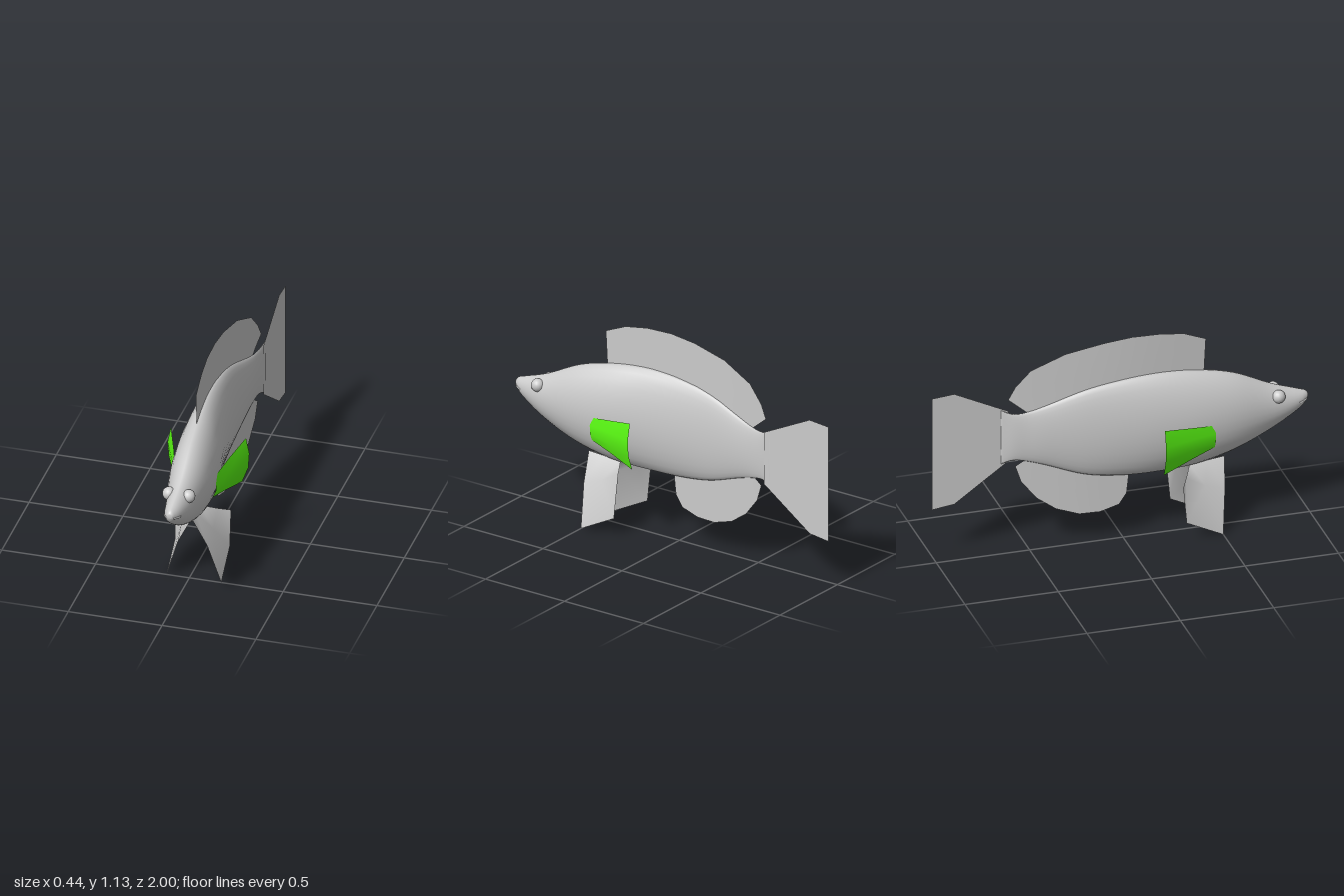
import * as THREE from 'three';

const V = (x, y, z) => new THREE.Vector3(x, y, z);

// Body stations from snout to tail root: z, top, bottom, spine x, half width
const stations = [
  [1.0, 0.665, 0.64, 0.04, 0.012],
  [0.985, 0.68, 0.615, 0.04, 0.025],
  [0.94, 0.695, 0.575, 0.04, 0.045],
  [0.8, 0.745, 0.49, 0.04, 0.075],
  [0.6, 0.84, 0.405, 0.03, 0.108],
  [0.4, 0.89, 0.36, 0.018, 0.114],
  [0.2, 0.91, 0.35, 0.005, 0.096],
  [0, 0.9, 0.355, 0.002, 0.073],
  [-0.2, 0.865, 0.385, 0.01, 0.05],
  [-0.4, 0.795, 0.455, 0.033, 0.032],
  [-0.5, 0.765, 0.485, 0.047, 0.02],
  [-0.57, 0.76, 0.495, 0.058, 0.012],
  [-0.63, 0.78, 0.475, 0.075, 0.004],
];

// Sideways swing of the spine at z
function spine(z) {
  for (let i = 1; i < stations.length; i++) {
    const a = stations[i - 1], b = stations[i];
    if (z >= b[0]) return THREE.MathUtils.lerp(a[3], b[3], Math.max(0, (a[0] - z) / (a[0] - b[0])));
  }
  return 0.077;
}

function makeGeometry(positions, index) {
  const g = new THREE.BufferGeometry();
  g.setAttribute('position', new THREE.Float32BufferAttribute(positions, 3));
  g.setIndex(index);
  g.computeVertexNormals();
  return g;
}

// Closed loft through oval rings that narrow towards back and belly
function bodyGeometry() {
  const centres = new THREE.CatmullRomCurve3(
    stations.map(([z, t, b, x]) => V(x, (t + b) / 2, z)), false, 'catmullrom');
  const halves = new THREE.CatmullRomCurve3(
    stations.map(([z, t, b, , w]) => V(w, (t - b) / 2, z)), false, 'catmullrom');
  const rings = 60, sides = 28, pos = [], idx = [];
  for (let i = 0; i <= rings; i++) {
    const c = centres.getPoint(i / rings), h = halves.getPoint(i / rings);
    for (let j = 0; j < sides; j++) {
      const a = (j / sides) * Math.PI * 2, k = Math.cos(a);
      pos.push(c.x + h.x * Math.sign(k) * Math.abs(k) ** 1.15, c.y + h.y * Math.sin(a), c.z);
      if (i === rings) continue;
      const p = i * sides + j, q = i * sides + ((j + 1) % sides);
      idx.push(p, p + sides, q, q, p + sides, q + sides);
    }
  }
  const last = rings * sides, n = last + sides;
  pos.push(...centres.getPoint(0).toArray(), ...centres.getPoint(1).toArray());
  for (let j = 0; j < sides; j++) {
    const k = (j + 1) % sides;
    idx.push(n, j, k, n + 1, last + k, last + j);
  }
  return makeGeometry(pos, idx);
}

// Thin fin from rows of equally many points
function sheetGeometry(rows) {
  const m = rows[0].length, idx = [];
  for (let i = 0; i < rows.length - 1; i++) {
    for (let j = 0; j < m - 1; j++) {
      const p = i * m + j;
      idx.push(p, p + m, p + 1, p + 1, p + m, p + m + 1);
    }
  }
  return makeGeometry(rows.flat(2), idx);
}

export function createModel() {
  const group = new THREE.Group();
  const skin = new THREE.MeshStandardMaterial({ color: 0xcccccc });
  const finSkin = new THREE.MeshStandardMaterial({ color: 0xcccccc, side: THREE.DoubleSide });
  const green = new THREE.MeshStandardMaterial({ color: 0x5cff14, side: THREE.DoubleSide });

  function add(name, geometry, material) {
    const mesh = new THREE.Mesh(geometry, material);
    mesh.name = name;
    group.add(mesh);
    return mesh;
  }

  add('body', bodyGeometry(), skin);

  // Mouth line wrapped round the snout
  const lip = new THREE.CatmullRomCurve3([
    V(-0.002, 0.63, 0.945), V(0.016, 0.638, 0.982), V(0.04, 0.643, 0.995),
    V(0.064, 0.638, 0.982), V(0.082, 0.63, 0.945)]);
  add('lip', new THREE.TubeGeometry(lip, 16, 0.006, 6), skin);

  // Median fins: each row runs base [z, y] to edge [z, y] and follows the spine
  const medianFin = (name, rows) => add(name, sheetGeometry(rows.map(([bz, by, ez, ey]) =>
    [0, 0.5, 1].map((t) => {
      const z = bz + (ez - bz) * t;
      return [spine(z), by + (ey - by) * t, z];
    }))), finSkin);

  medianFin('dorsalFin', [
    [0.44, 0.87, 0.45, 1.06], [0.3, 0.89, 0.33, 1.11], [0.18, 0.9, 0.2, 1.13],
    [0.03, 0.89, 0.05, 1.135], [-0.12, 0.87, -0.1, 1.12], [-0.27, 0.83, -0.3, 1.08],
    [-0.4, 0.78, -0.48, 1.0], [-0.45, 0.76, -0.56, 0.91], [-0.49, 0.755, -0.595, 0.84],
  ]);
  medianFin('analFin', [
    [0.03, 0.37, 0.03, 0.34], [0.02, 0.37, 0.02, 0.25], [-0.03, 0.375, -0.02, 0.19],
    [-0.12, 0.385, -0.12, 0.16], [-0.21, 0.4, -0.23, 0.16], [-0.31, 0.435, -0.35, 0.2],
    [-0.39, 0.465, -0.45, 0.27], [-0.45, 0.485, -0.53, 0.37], [-0.5, 0.5, -0.56, 0.46],
  ]);

  // Tail fin, a flat fan
  add('tailFin', sheetGeometry(
    [[-0.59, 0.77, 0.485], [-0.88, 0.91, 0.28], [-1, 0.9, 0.265]].map(
      ([z, top, bottom]) => [[0.077, top, z], [0.077, bottom, z]])), finSkin);

  // Paired fins and eyes; x is the distance from the spine
  const pelvic = [
    [[0.005, 0.375, 0.55], [0.002, 0.365, 0.46], [0.002, 0.355, 0.36]],
    [[0.078, 0.225, 0.53], [0.085, 0.265, 0.42], [0.087, 0.325, 0.315]],
    [[0.146, 0.0, 0.5], [0.146, 0.1, 0.3], [0.148, 0.305, 0.28]],
  ];
  const pectoral = [
    [[0.108, 0.61, 0.47], [0.112, 0.565, 0.47], [0.11, 0.52, 0.47], [0.093, 0.48, 0.47]],
    [[0.145, 0.637, 0.33], [0.155, 0.575, 0.33], [0.152, 0.51, 0.33], [0.13, 0.45, 0.33]],
    [[0.2, 0.675, 0.165], [0.218, 0.585, 0.165], [0.212, 0.5, 0.165], [0.18, 0.413, 0.165]],
  ];
  for (const [side, s] of [['left', 1], ['right', -1]]) {
    const place = (rows) => rows.map((row) => row.map(([d, y, z]) => [spine(z) + s * d, y, z]));
    add(side + 'PelvicFin', sheetGeometry(place(pelvic)), finSkin);
    add(side + 'PectoralFin', sheetGeometry(place(pectoral)), green);
    const eye = add(side + 'Eye', new THREE.SphereGeometry(0.035, 16, 12), skin);
    eye.position.set(spine(0.83) + s * 0.052, 0.688, 0.83);
  }
  return group;
}
